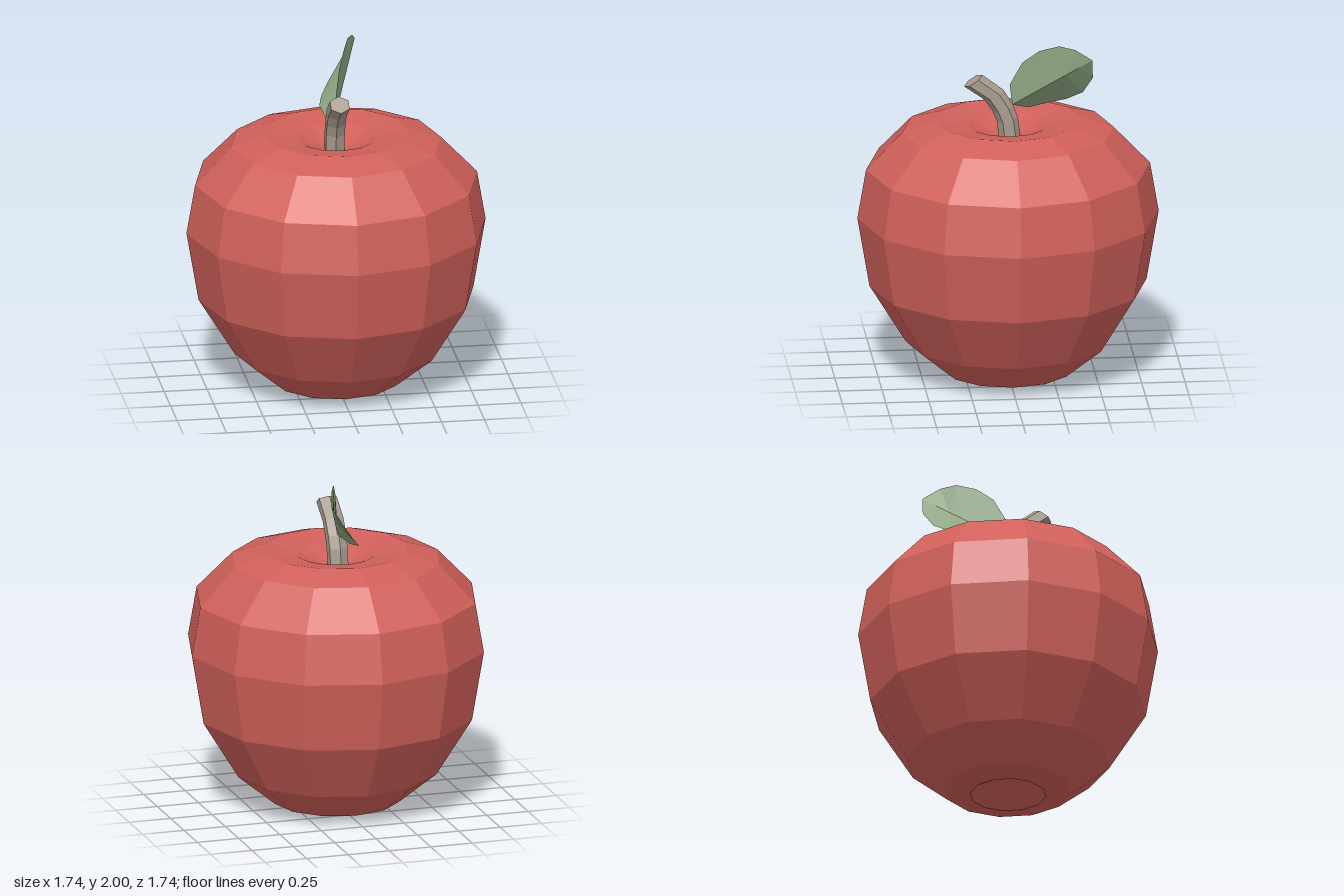
import * as THREE from 'three';

const V = (x, y, z) => new THREE.Vector3(x, y, z);

function mesh(name, geometry, color, side = THREE.FrontSide) {
  const m = new THREE.Mesh(geometry, new THREE.MeshStandardMaterial({ color, flatShading: true, side }));
  m.name = name;
  return m;
}

// Twelve-sided fruit with a hollow at the top and the bottom
function makeBody() {
  const profile = [
    [0, 0.1], [0.22, 0], [0.37, 0.03], [0.59, 0.21], [0.8, 0.55], [0.87, 0.96],
    [0.82, 1.25], [0.61, 1.47], [0.42, 1.53], [0.23, 1.5], [0, 1.4],
  ].map(([r, y]) => new THREE.Vector2(r, y));
  return mesh('appleBody', new THREE.LatheGeometry(profile, 12), 0xd0605a);
}

// Six-sided stem: each ring of a cylinder is moved and tilted along a forward bend
function makeStem() {
  const rings = [ // y, z, tilt
    [1.39, -0.015, 0.08], [1.53, 0.003, 0.15], [1.6, 0.03, 0.24], [1.68, 0.08, 0.46], [1.768, 0.2, 0.58],
  ];
  const g = new THREE.CylinderGeometry(0.062, 0.062, 1, 6, rings.length - 1);
  const p = g.attributes.position;
  for (let i = 0; i < p.count; i++) {
    const [y, z, tilt] = rings[Math.round((p.getY(i) + 0.5) * (rings.length - 1))];
    const d = p.getZ(i);
    p.setXYZ(i, p.getX(i) - 0.008, y - d * Math.sin(tilt), z + d * Math.cos(tilt));
  }
  g.computeVertexNormals();
  return mesh('stem', g, 0xa89c8e);
}

// Leaf folded along a straight midrib, one strip of facets on each side
function makeLeaf() {
  const base = V(0, 1.62, -0.025), tip = V(0.18, 1.93, -0.472);
  const upper = [
    base, V(0, 1.74, -0.01), V(0.03, 1.88, -0.08), V(0.07, 1.96, -0.175),
    V(0.11, 1.998, -0.286), V(0.15, 1.985, -0.376), tip,
  ];
  const lower = [
    base, V(-0.045, 1.587, -0.12), V(-0.06, 1.61, -0.245), V(-0.035, 1.635, -0.34),
    V(0.02, 1.69, -0.43), V(0.1, 1.80, -0.481), tip,
  ];
  const rib = upper.map((_, i) => base.clone().lerp(tip, i / 6));
  const points = [];
  const strip = (a, b) => {
    for (let i = 0; i < 6; i++) {
      if (i > 0) points.push(a[i], b[i], b[i + 1]);
      if (i === 0) points.push(a[0], b[1], a[1]);
      else if (i < 5) points.push(a[i], b[i + 1], a[i + 1]);
    }
  };
  strip(rib, upper);
  strip(lower, rib);
  const g = new THREE.BufferGeometry().setFromPoints(points);
  g.computeVertexNormals();
  return mesh('leaf', g, 0x8fa882, THREE.DoubleSide);
}

export function createModel() {
  const group = new THREE.Group();
  group.name = 'apple';
  group.add(makeBody(), makeStem(), makeLeaf());
  return group;
}
